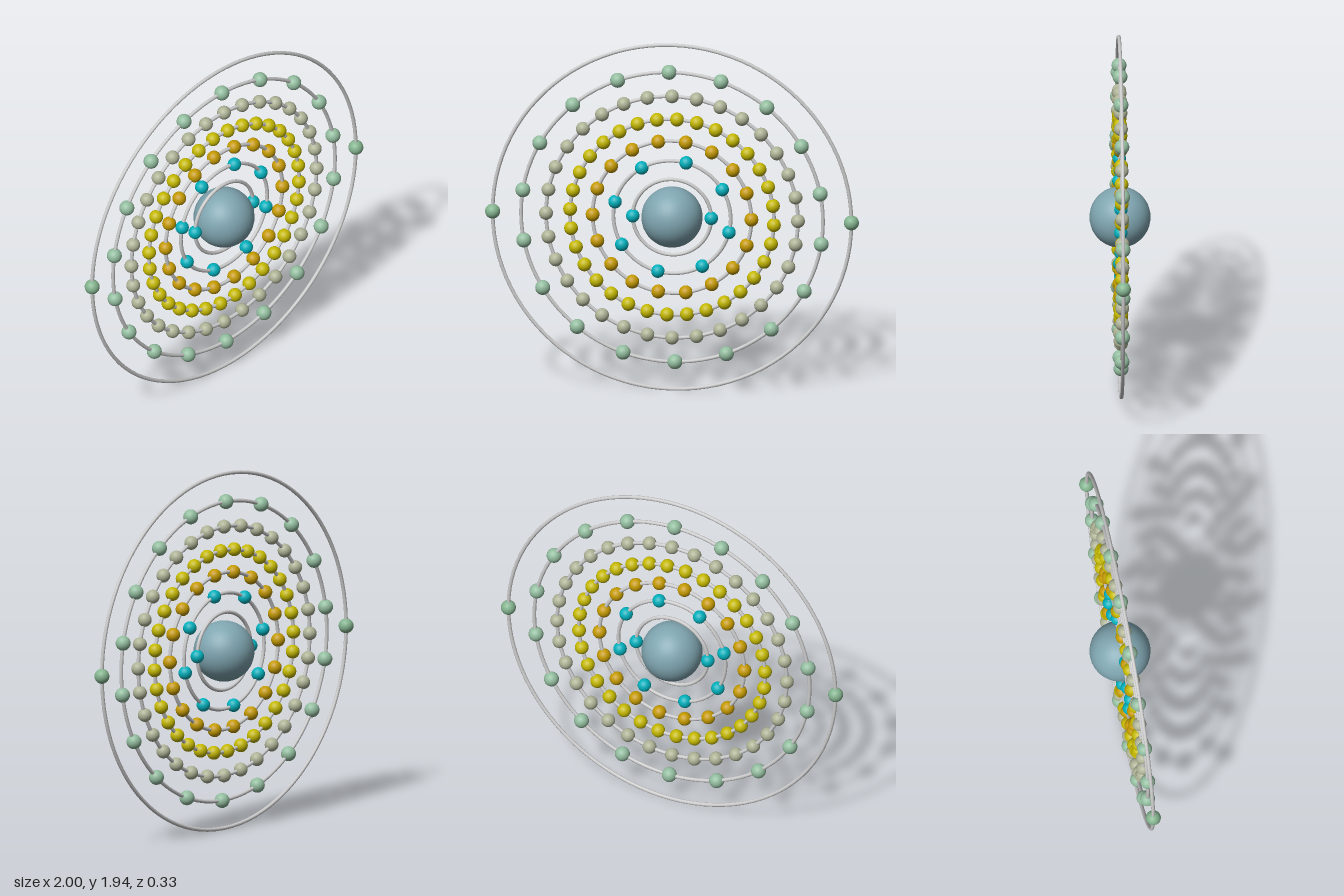
import * as THREE from 'three';

const CENTRE_Y = 0.97;
const TUBE = 0.01;

// Orbits from the inside out: radius, electron count, first angle (degrees), electron size, colour
const SHELLS = [
  { radius: 0.21, count: 2, start: 0, size: 0.036, color: 0x00b0bc },
  { radius: 0.314, count: 8, start: 31.1, size: 0.036, color: 0x00b0bc },
  { radius: 0.425, count: 18, start: 0, size: 0.037, color: 0xc49a00 },
  { radius: 0.546, count: 32, start: -2.8, size: 0.037, color: 0xc4b800 },
  { radius: 0.674, count: 32, start: 0, size: 0.037, color: 0xaeb396 },
  { radius: 0.808, count: 18, start: 11.1, size: 0.04, color: 0x93bd9f },
  { radius: 0.96, count: 2, start: 0, size: 0.04, color: 0x84b48f },
];

function addMesh(parent, name, geometry, material) {
  const mesh = new THREE.Mesh(geometry, material);
  mesh.name = name;
  parent.add(mesh);
  return mesh;
}

export function createModel() {
  const model = new THREE.Group();
  model.name = 'atomModel';

  // Everything is arranged around the nucleus in the upright XY plane
  const atom = new THREE.Group();
  atom.name = 'atom';
  atom.position.y = CENTRE_Y;
  model.add(atom);

  addMesh(atom, 'nucleus', new THREE.SphereGeometry(0.163, 32, 24),
    new THREE.MeshStandardMaterial({ color: 0x7fa5b0 }));

  const ringMaterial = new THREE.MeshStandardMaterial({ color: 0xcccccc });

  SHELLS.forEach(({ radius, count, start, size, color }, i) => {
    const shell = new THREE.Group();
    shell.name = `shell${i + 1}`;
    atom.add(shell);

    // Orbit ring
    addMesh(shell, 'orbitRing', new THREE.TorusGeometry(radius, TUBE, 10, 96), ringMaterial);

    // Electrons spaced evenly along the ring
    const electronGeometry = new THREE.SphereGeometry(size, 24, 16);
    const electronMaterial = new THREE.MeshStandardMaterial({ color });
    for (let k = 0; k < count; k++) {
      const a = THREE.MathUtils.degToRad(start + (360 * k) / count);
      addMesh(shell, `electron${k + 1}`, electronGeometry, electronMaterial)
        .position.set(radius * Math.cos(a), radius * Math.sin(a), 0);
    }
  });

  return model;
}
